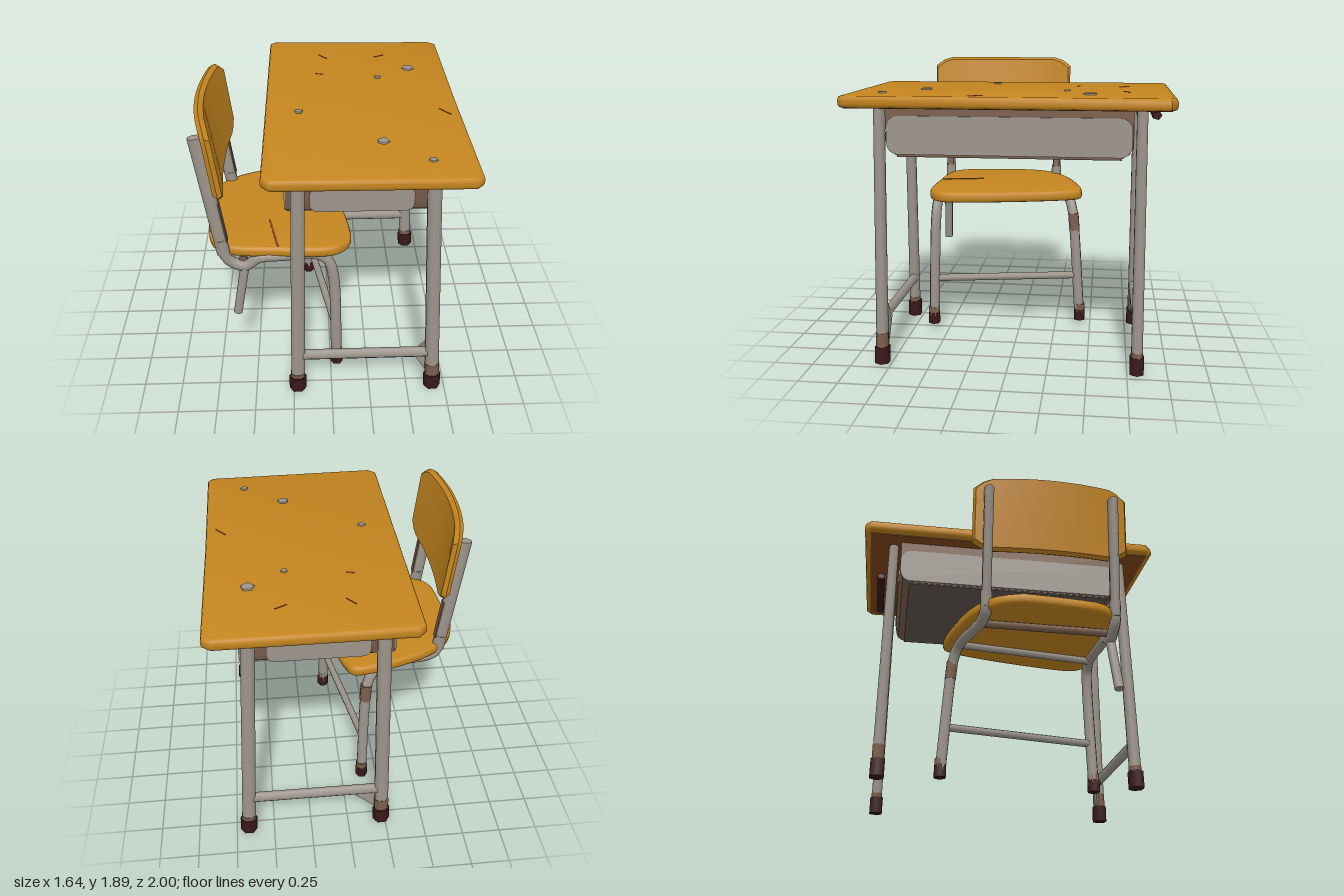
import * as THREE from 'three';
import { toCreasedNormals } from 'three/addons/utils/BufferGeometryUtils.js';

const mat = (name, color) => {
  const m = new THREE.MeshStandardMaterial({ color });
  m.name = name;
  return m;
};
const V = (x, y, z) => new THREE.Vector3(x, y, z);

export function createModel() {
  const wood = mat('yellow wood', 0xc4851f);
  const steel = mat('grey paint', 0x9c958c);
  const rust = mat('brown rust', 0x7c5f4d);
  const rubber = mat('dark rubber', 0x3a191a);
  const under = mat('bare wood underside', 0x84461c);
  const shade = mat('dark tray metal', 0x61564d);

  const model = new THREE.Group();
  const desk = new THREE.Group(), chair = new THREE.Group();
  desk.name = 'desk';
  chair.name = 'chair';
  model.add(desk, chair);

  const add = (parent, name, geo, material) => {
    const m = new THREE.Mesh(geo, material);
    m.name = name;
    parent.add(m);
    return m;
  };
  const box = (parent, name, size, pos, material) => {
    const m = add(parent, name, new THREE.BoxGeometry(...size), material);
    m.position.set(...pos);
    return m;
  };
  // straight rod from a to b, oval if rz differs from rx
  const rod = (parent, name, a, b, rx, material, rz = rx, sides = 8, taper = 1) => {
    const d = b.clone().sub(a);
    const g = new THREE.CylinderGeometry(taper, 1, d.length(), sides).rotateY(Math.PI / sides);
    g.scale(rx, 1, rz);
    const m = add(parent, name, g, material);
    m.position.copy(a).add(b).multiplyScalar(0.5);
    m.quaternion.setFromUnitVectors(V(0, 1, 0), d.normalize());
    return m;
  };
  // bent pipe with closed ends
  const pipe = (parent, name, pts, r, material) => {
    const curve = new THREE.CatmullRomCurve3(pts, false, 'centripetal');
    const g = new THREE.Group();
    g.name = name;
    add(g, name + 'Tube', new THREE.TubeGeometry(curve, 40, r, 8), material);
    for (const [t, s] of [[0, -1], [1, 1]]) {
      const cap = add(g, name + 'End', new THREE.CircleGeometry(r, 8), material);
      cap.position.copy(curve.getPoint(t));
      cap.quaternion.setFromUnitVectors(V(0, 0, 1), curve.getTangent(t).multiplyScalar(s));
    }
    parent.add(g);
  };
  // horizontal board with softened edges, from an outline in x and z
  const slab = (shape, top, thick, b) => toCreasedNormals(new THREE.ExtrudeGeometry(shape, {
    depth: thick - 2 * b, bevelSize: b, bevelThickness: b, bevelOffset: -b, bevelSegments: 2, curveSegments: 6,
  }).rotateX(Math.PI / 2).translate(0, top - b, 0), 0.8);
  const poly = pts => new THREE.Shape(pts.map(p => new THREE.Vector2(...p)));
  const rounded = (w, h, r) => {
    const s = new THREE.Shape();
    const cx = w / 2 - r, cy = h / 2 - r;
    s.absarc(cx, cy, r, 0, Math.PI / 2);
    s.absarc(-cx, cy, r, Math.PI / 2, Math.PI);
    s.absarc(-cx, -cy, r, Math.PI, Math.PI * 1.5);
    s.absarc(cx, -cy, r, Math.PI * 1.5, Math.PI * 2);
    return s;
  };
  const plate = (w, h, r) => new THREE.ExtrudeGeometry(rounded(w, h, r), { depth: 0.008, bevelEnabled: false, curveSegments: 4 });

  // ---- desk top
  const top = new THREE.Group();
  top.name = 'deskTop';
  top.position.set(0.2, 0, 0);
  top.rotation.z = -0.008;
  desk.add(top);
  add(top, 'deskBoard', slab(poly([[-0.61, -0.96], [-0.57, -1], [0.56, -0.99], [0.61, -0.95],
    [0.605, 0], [0.61, 0.95], [0.57, 0.99], [-0.56, 1], [-0.61, 0.95]]), 1.722, 0.072, 0.022), wood);
  box(top, 'deskUnderside', [1.13, 0.006, 1.92], [0, 1.649, 0], under);
  // chips and scratches on the top
  for (const [x, z, r] of [[0.55, -0.49, 0.045], [0.33, -0.34, 0.022], [-0.2, 0.17, 0.028], [0.29, 0.56, 0.04], [0.55, 0.78, 0.028]]) {
    const chip = add(top, 'chip', new THREE.CylinderGeometry(r * 0.9, r, 0.009, 5), steel);
    chip.position.set(x - 0.2, 1.726, z);
    chip.rotation.y = x * 9;
  }
  for (const [x, z, l, a] of [[-0.03, -0.7, 0.08, 0.9], [0.37, -0.71, 0.08, -0.5], [-0.06, -0.4, 0.05, 0.2], [0.71, 0.18, 0.1, 0.9]])
    box(top, 'scratch', [l, 0.006, 0.008], [x - 0.2, 1.722, z], under).rotation.y = -a;

  // ---- tray under the top
  const tray = new THREE.Group();
  tray.name = 'tray';
  desk.add(tray);
  const trayShape = poly([[-0.75, 1.65], [-0.75, 1.43], [-0.73, 1.37], [-0.68, 1.34], [0.68, 1.34], [0.73, 1.37], [0.75, 1.43], [0.75, 1.65]]);
  add(tray, 'trayBody', toCreasedNormals(new THREE.ExtrudeGeometry(trayShape, { depth: 0.9, bevelEnabled: false })
    .translate(0, 0, -0.45).rotateY(Math.PI / 2).translate(0.18, 0, 0), 0.7), rust);
  box(tray, 'trayBottom', [0.89, 0.008, 1.37], [0.18, 1.337, 0], shade);
  for (const s of [-1, 1]) {
    const side = add(tray, 'traySidePanel', plate(1.49, 0.235, 0.07), steel);
    side.rotation.y = s * Math.PI / 2;
    side.position.set(0.18 + s * 0.45, 1.467, 0);
    const end = add(tray, 'trayEndPanel', plate(0.61, 0.16, 0.05), steel);
    if (s < 0) end.rotation.y = Math.PI;
    end.position.set(0.175, 1.45, s * 0.75);
  }
  rod(desk, 'looseRod', V(0.14, 1.615, -0.88), V(0.65, 1.605, -0.88), 0.025, rubber, 0.03, 5);

  // ---- desk frames
  for (const s of [-1, 1]) {
    const frame = new THREE.Group();
    frame.name = s > 0 ? 'frontFrame' : 'backFrame';
    desk.add(frame);
    for (const [xt, xb] of [[-0.195, -0.225], [0.575, 0.67]]) {
      const at = y => V(xb + (xt - xb) * y / 1.65, y, s * (0.81 - 0.01 * y / 1.65));
      rod(frame, 'deskLeg', at(0.05), at(1.65), 0.048, steel, 0.038, 8, 0.92);
      rod(frame, 'legRust', at(0.1), at((xb > 0) === (s > 0) ? 0.2 : 0.14), 0.05, rust, 0.04);
      rod(frame, 'deskFoot', at(0), at(0.11), 0.056, rubber, 0.05, 6);
    }
    rod(frame, 'lowerRail', V(-0.2, 0.29, s * 0.805), V(0.63, 0.295, s * 0.805), 0.038, steel, 0.03);
    rod(frame, 'upperRail', V(-0.18, 1.58, s * 0.8), V(0.57, 1.58, s * 0.8), 0.025, steel);
    // corner gusset
    const tri = s > 0 ? [[0.53, 0.27], [0.65, 0.08], [0.65, 0.42]] : [[-0.21, 0.08], [0.0, 0.27], [-0.21, 0.3]];
    add(frame, 'gusset', new THREE.ExtrudeGeometry(poly(tri), { depth: 0.02, bevelEnabled: false })
      .translate(0, 0, s * 0.785 - 0.01), steel);
  }

  // ---- chair seat
  const outline = [[-0.82, 0], [-0.76, -0.16], [-0.62, -0.28], [-0.4, -0.37], [-0.14, -0.43], [-0.05, -0.38], [0.02, -0.15],
    [0.08, 0.15], [0.12, 0.45], [0.08, 0.57], [-0.05, 0.63], [-0.4, 0.625], [-0.62, 0.61], [-0.76, 0.52], [-0.8, 0.3]];
  const seatShape = new THREE.Shape(new THREE.SplineCurve([...outline, outline[0]].map(p => new THREE.Vector2(...p))).getPoints(45).slice(0, -1));
  const seat = add(chair, 'seat', slab(seatShape, 1.012, 0.07, 0.022), wood);
  seat.rotation.z = -0.014;
  seat.position.y = -0.003;
  box(chair, 'seatCrack', [0.012, 0.006, 0.3], [-0.36, 1.015, 0.45], under).rotation.y = 0.2;

  // ---- chair backrest, bowed backwards with clipped corners
  const back = new THREE.BoxGeometry(0.055, 0.51, 1.02, 2, 8, 18);
  const p = back.attributes.position;
  for (let i = 0; i < p.count; i++) {
    const x = p.getX(i), v = p.getY(i) / 0.255, u = p.getZ(i) / 0.51;
    const rim = Math.abs(x) > 0.02 ? 0.015 : 0;
    const clip = Math.max(0, Math.abs(u) - 0.84) / 0.16 * 0.06;
    const y = v * (0.255 - rim - clip), t = (y + 0.255) / 0.51;
    p.setXYZ(i, x - 0.655 - 0.06 * t - (1 - u * u) * (0.035 + 0.03 * t), 1.632 + y, 0.2 + u * (0.51 - rim));
  }
  add(chair, 'backrest', toCreasedNormals(back, 0.7), wood);

  // ---- chair frame
  const leftPath = [[-0.68, 1.08, 0.605], [-0.66, 0.95, 0.605], [-0.62, 0.9, 0.6], [-0.54, 0.87, 0.6], [-0.45, 0.93, 0.6], [-0.3, 0.94, 0.595],
    [-0.1, 0.94, 0.58], [-0.02, 0.89, 0.58], [0.015, 0.77, 0.585], [0.04, 0.06, 0.605]];
  const rightPath = [[-0.68, 1.08, -0.215], [-0.66, 0.95, -0.215], [-0.6, 0.92, -0.225], [-0.45, 0.93, -0.26], [-0.3, 0.93, -0.31],
    [-0.22, 0.91, -0.34], [-0.175, 0.83, -0.365], [-0.16, 0.7, -0.38], [-0.14, 0.06, -0.425]];
  pipe(chair, 'leftSideFrame', leftPath.map(q => V(...q)), 0.036, steel);
  pipe(chair, 'rightSideFrame', rightPath.map(q => V(...q)), 0.036, steel);
  for (const z of [0.605, -0.215]) {
    rod(chair, 'backSupport', V(-0.668, 0.97, z), V(-0.775, 1.79, z), 0.043, steel, 0.03, 8, 1.1);
    box(chair, 'supportRust', [0.008, 0.28, 0.045], [-0.658, 1.21, z], rust).rotation.z = 0.13;
  }
  rod(chair, 'brokenRearLeg', V(-0.605, 0.51, 0.62), V(-0.54, 0.88, 0.6), 0.03, steel);
  rod(chair, 'rightLegRust', V(-0.159, 0.7, -0.38), V(-0.167, 0.82, -0.37), 0.039, rust);
  rod(chair, 'frontSeatBar', V(-0.22, 0.925, -0.33), V(-0.1, 0.925, 0.58), 0.025, steel);
  rod(chair, 'rearSeatBar', V(-0.56, 0.915, -0.23), V(-0.55, 0.915, 0.6), 0.025, rust);
  rod(chair, 'legStretcher', V(-0.15, 0.37, -0.405), V(0.03, 0.37, 0.6), 0.025, steel);
  for (const [x, z] of [[0.04, 0.605], [-0.14, -0.425]]) {
    rod(chair, 'chairLegRust', V(x, 0.1, z), V(x, 0.16, z), 0.038, rust);
    rod(chair, 'chairFoot', V(x, 0.04, z), V(x, 0.12, z), 0.042, rubber, 0.042, 6);
  }
  return model;
}
